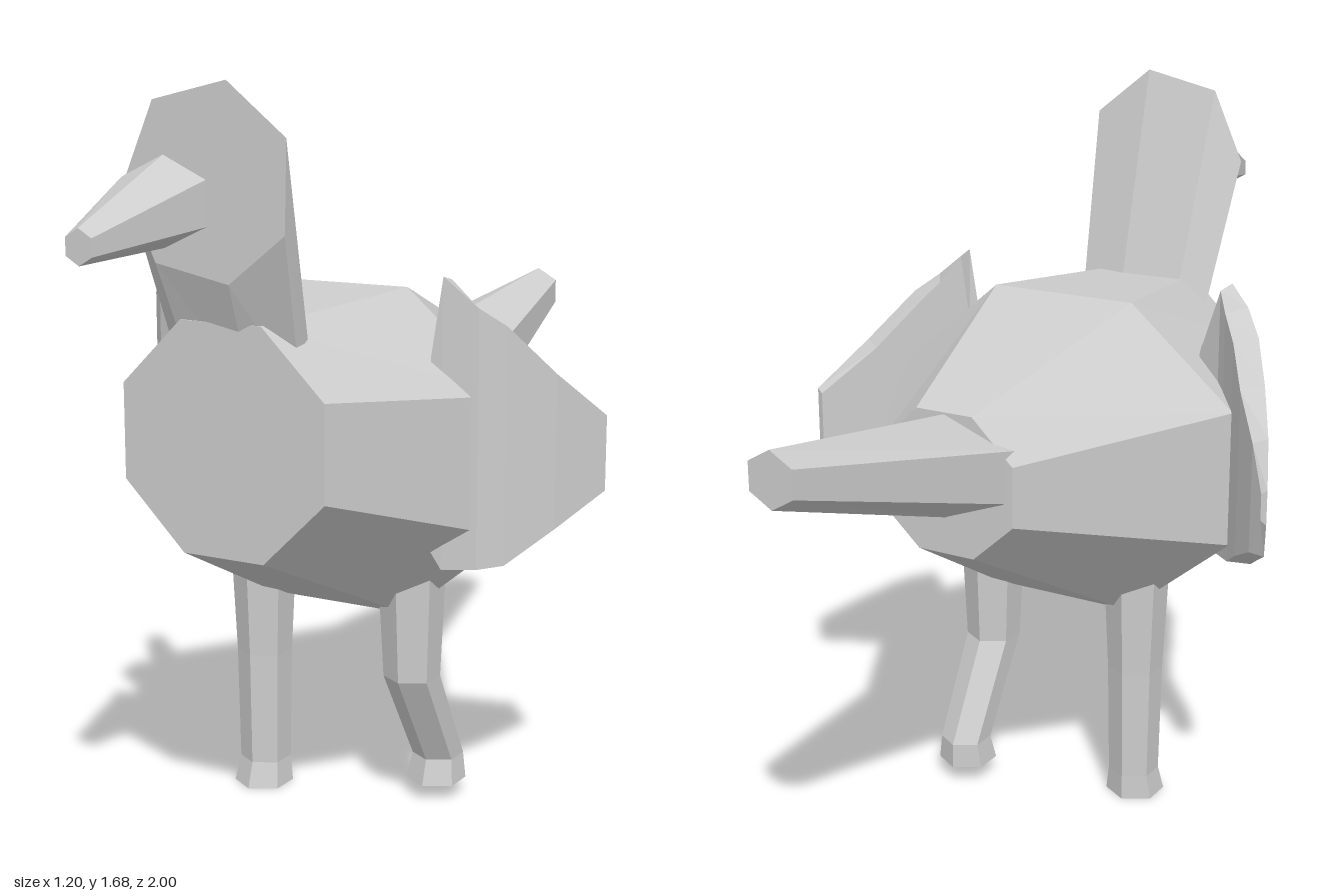
import * as THREE from 'three';

const plumage = new THREE.MeshStandardMaterial({ color: 0xcccccc });
plumage.name = 'lightGrey';
plumage.flatShading = true;

// Skin a closed solid through a list of rings with equal point counts
function loft(name, rings) {
  const tris = [];
  const n = rings[0].length;
  for (let r = 0; r < rings.length - 1; r++) {
    for (let i = 0; i < n; i++) {
      const j = (i + 1) % n, a = rings[r], b = rings[r + 1];
      tris.push([a[i], a[j], b[j]], [a[i], b[j], b[i]]);
    }
  }
  const first = rings[0], last = rings[rings.length - 1];
  for (let i = 1; i < n - 1; i++) {
    tris.push([first[0], first[i + 1], first[i]], [last[0], last[i], last[i + 1]]);
  }
  // Turn the faces outward if the enclosed volume is negative
  const volume = tris.reduce((sum, [a, b, c]) => sum + a.dot(b.clone().cross(c)), 0);
  const points = tris.flatMap(([a, b, c]) => (volume < 0 ? [a, c, b] : [a, b, c]));
  const geometry = new THREE.BufferGeometry().setFromPoints(points);
  geometry.computeVertexNormals();
  const mesh = new THREE.Mesh(geometry, plumage);
  mesh.name = name;
  return mesh;
}

const v = (x, y, z) => new THREE.Vector3(x, y, z);

// Chamfered rectangle facing z: half widths of flat top and sides, four heights
function octagon(z, flat, side, top, upper, lower, bottom) {
  return [[flat, top], [side, upper], [side, lower], [flat, bottom],
    [-flat, bottom], [-side, lower], [-side, upper], [-flat, top]].map(([x, y]) => v(x, y, z));
}

// Hexagon facing z with a point at the top
function hexagonZ(z, y, rx, ry) {
  return Array.from({ length: 6 }, (_, i) => {
    const a = i * Math.PI / 3;
    return v(rx * Math.sin(a), y + ry * Math.cos(a), z);
  });
}

// Hexagon facing y with a point at the front
function hexagonY(x, y, z, r) {
  return Array.from({ length: 6 }, (_, i) => {
    const a = i * Math.PI / 3;
    return v(x + r * Math.sin(a), y, z + r * Math.cos(a));
  });
}

// Wing columns: [x, z, top, bottom, inward x, inward z]
function wing(name, side, columns) {
  return loft(name, columns.map(([x, z, top, bottom, dx, dz]) => [
    v(side * x, top, z), v(side * x, bottom, z),
    v(side * (x + dx), bottom + 0.01, z + dz), v(side * (x + dx), top - 0.01, z + dz),
  ]));
}

// Leg joints: [y, z, radius]
function leg(name, x, joints) {
  return loft(name, joints.map(([y, z, r]) => hexagonY(x, y, z, r)));
}

export function createModel() {
  const bird = new THREE.Group();
  bird.name = 'bird';

  bird.add(loft('body', [
    octagon(0.55, 0.1, 0.25, 1.19, 1.045, 0.835, 0.69),
    octagon(0.08, 0.18, 0.44, 1.225, 1.005, 0.69, 0.475),
    octagon(-0.42, 0.07, 0.17, 1.07, 0.975, 0.84, 0.75),
  ]));

  bird.add(loft('tail', [
    hexagonZ(-0.38, 0.94, 0.185, 0.12),
    hexagonZ(-1, 1.09, 0.06, 0.06),
  ]));

  // Neck leans forward into a flat seven-sided face
  const face = [[-0.13, 1.64], [0.05, 1.68], [0.19, 1.57], [0.185, 1.38],
    [0.05, 1.275], [-0.13, 1.31], [-0.205, 1.475]];
  bird.add(loft('headAndNeck', [
    face.map(([x, y]) => v(x * 0.8, 1.05, 0.455 - (y - 1.475) * 0.225)),
    face.map(([x, y]) => v(x, y, 0.59)),
  ]));

  bird.add(loft('beak', [
    hexagonZ(0.735, 1.45, 0.115, 0.09),
    hexagonZ(1, 1.385, 0.035, 0.035),
  ]));

  // Curved wings wrap the flanks and flare out behind
  bird.add(wing('leftWing', 1, [
    [0.31, 0.21, 1.1, 0.67, 0.01, -0.03],
    [0.335, 0.205, 1.27, 0.63, 0, -0.04],
    [0.41, 0.185, 1.205, 0.635, -0.03, -0.045],
    [0.455, 0.14, 1.165, 0.64, -0.045, -0.035],
    [0.53, 0.045, 1.055, 0.71, -0.045, -0.03],
    [0.595, -0.08, 0.95, 0.78, -0.015, -0.005],
  ]));
  bird.add(wing('rightWing', -1, [
    [0.295, 0.21, 1.11, 0.69, 0.01, -0.03],
    [0.375, 0.195, 1.27, 0.625, -0.01, -0.04],
    [0.425, 0.175, 1.225, 0.63, -0.035, -0.045],
    [0.48, 0.115, 1.175, 0.64, -0.045, -0.035],
    [0.53, 0.045, 1.09, 0.685, -0.045, -0.03],
    [0.58, -0.04, 1.0, 0.73, -0.03, -0.015],
    [0.6, -0.08, 0.9, 0.82, -0.012, -0.005],
  ]));

  // Right leg stands straight, left leg is lifted back
  bird.add(leg('rightLeg', -0.2, [
    [0.64, 0.088, 0.08], [0.33, 0.088, 0.065], [0.06, 0.088, 0.06], [0, 0.097, 0.07],
  ]));
  bird.add(leg('leftLeg', 0.2, [
    [0.64, 0.088, 0.08], [0.33, 0.085, 0.065], [0.1, -0.048, 0.06], [0.04, -0.04, 0.07],
  ]));

  return bird;
}
